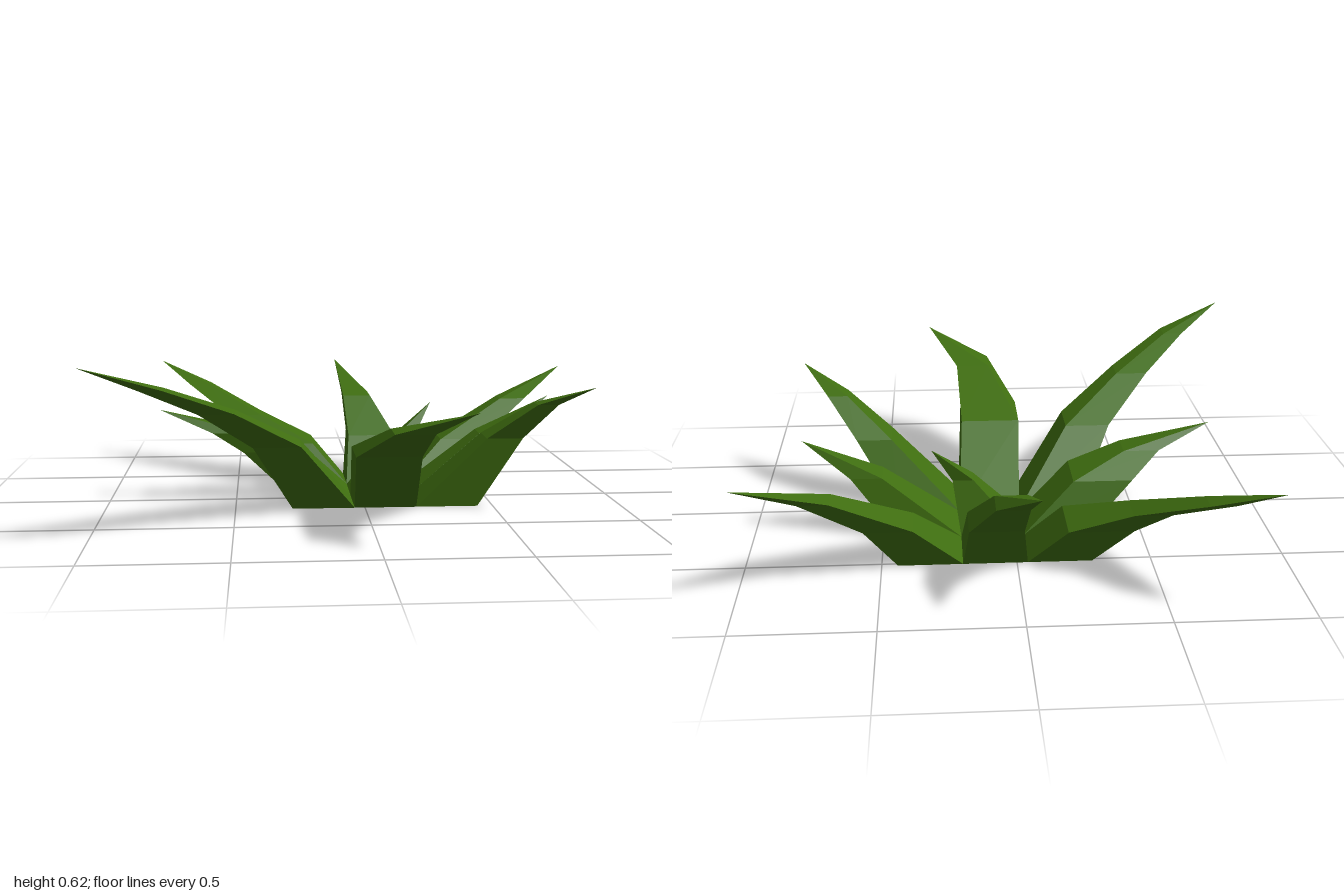
import * as THREE from 'three';

const leafGreen = new THREE.MeshStandardMaterial({ color: 0x3f6e10, flatShading: true, side: THREE.DoubleSide });
leafGreen.name = 'leaf green';

// Grid lines of the three by three base
const gridX = [-0.28, -0.04, 0.2, 0.44];
const gridZ = [-0.515, -0.28, -0.04, 0.2];

// Each leaf grows from one base cell through level rings [x0, x1, z0, z1, y] to a tip [x, y, z]
const leaves = [
  { name: 'backRightLeaf', cell: [0, 0], tip: [-0.86, 0.46, -1],
    rings: [[-0.42, -0.18, -0.61, -0.37, 0.16], [-0.54, -0.4, -0.7, -0.56, 0.26], [-0.72, -0.63, -0.88, -0.79, 0.37]] },
  { name: 'backLeaf', cell: [1, 0], tip: [-0.05, 0.46, -1],
    rings: [[-0.02, 0.18, -0.63, -0.45, 0.18], [-0.03, 0.09, -0.78, -0.65, 0.33]] },
  { name: 'backLeftLeaf', cell: [2, 0], tip: [0.99, 0.44, -0.82],
    rings: [[0.38, 0.56, -0.58, -0.41, 0.165], [0.67, 0.78, -0.675, -0.575, 0.32]] },
  { name: 'rightLeaf', cell: [0, 1], tip: [-0.8, 0.36, -0.03],
    rings: [[-0.47, -0.24, -0.21, 0.01, 0.19], [-0.59, -0.45, -0.1, 0.02, 0.27]] },
  { name: 'centreLeaf', cell: [1, 1], tip: [0.31, 0.35, -0.25],
    rings: [[0.15, 0.23, -0.23, -0.15, 0.215]] },
  { name: 'leftLeaf', cell: [2, 1], tip: [0.8, 0.38, -0.2],
    rings: [[0.5, 0.62, -0.24, -0.12, 0.235]] },
  { name: 'frontRightLeaf', cell: [0, 2], tip: [-1, 0.62, 0.84],
    rings: [[-0.43, -0.25, 0.2, 0.38, 0.27], [-0.62, -0.49, 0.43, 0.55, 0.42], [-0.81, -0.73, 0.65, 0.74, 0.53]] },
  { name: 'frontLeaf', cell: [1, 2], tip: [0.31, 0.48, 1],
    rings: [[-0.06, 0.18, 0.31, 0.55, 0.26], [0.05, 0.19, 0.69, 0.83, 0.385]] },
  { name: 'frontLeftLeaf', cell: [2, 2], tip: [0.84, 0.49, 0.44], openBase: true,
    rings: [[0.47, 0.61, 0.08, 0.23, 0.27], [0.65, 0.73, 0.23, 0.31, 0.41]] },
];

// Lofts a four-sided leaf from its base cell to the tip
function leafGeometry({ cell: [i, j], rings, tip, openBase }) {
  const base = [gridX[i], gridX[i + 1], gridZ[j], gridZ[j + 1], 0];
  const sections = [base, ...rings];
  const positions = [];
  for (const [x0, x1, z0, z1, y] of sections) {
    positions.push(x0, y, z0, x0, y, z1, x1, y, z1, x1, y, z0);
  }
  positions.push(...tip);

  const index = openBase ? [] : [0, 3, 2, 0, 2, 1];
  const last = sections.length - 1;
  for (let s = 0; s <= last; s++) {
    for (let k = 0; k < 4; k++) {
      const a = s * 4 + k;
      const b = s * 4 + (k + 1) % 4;
      if (s === last) index.push(a, b, sections.length * 4);
      else index.push(a, b, b + 4, a, b + 4, a + 4);
    }
  }
  const indexed = new THREE.BufferGeometry();
  indexed.setAttribute('position', new THREE.Float32BufferAttribute(positions, 3));
  indexed.setIndex(index);
  const geometry = indexed.toNonIndexed();
  geometry.computeVertexNormals();
  return geometry;
}

export function createModel() {
  const plant = new THREE.Group();
  plant.name = 'plant';
  for (const leaf of leaves) {
    const mesh = new THREE.Mesh(leafGeometry(leaf), leafGreen);
    mesh.name = leaf.name;
    plant.add(mesh);
  }
  return plant;
}
